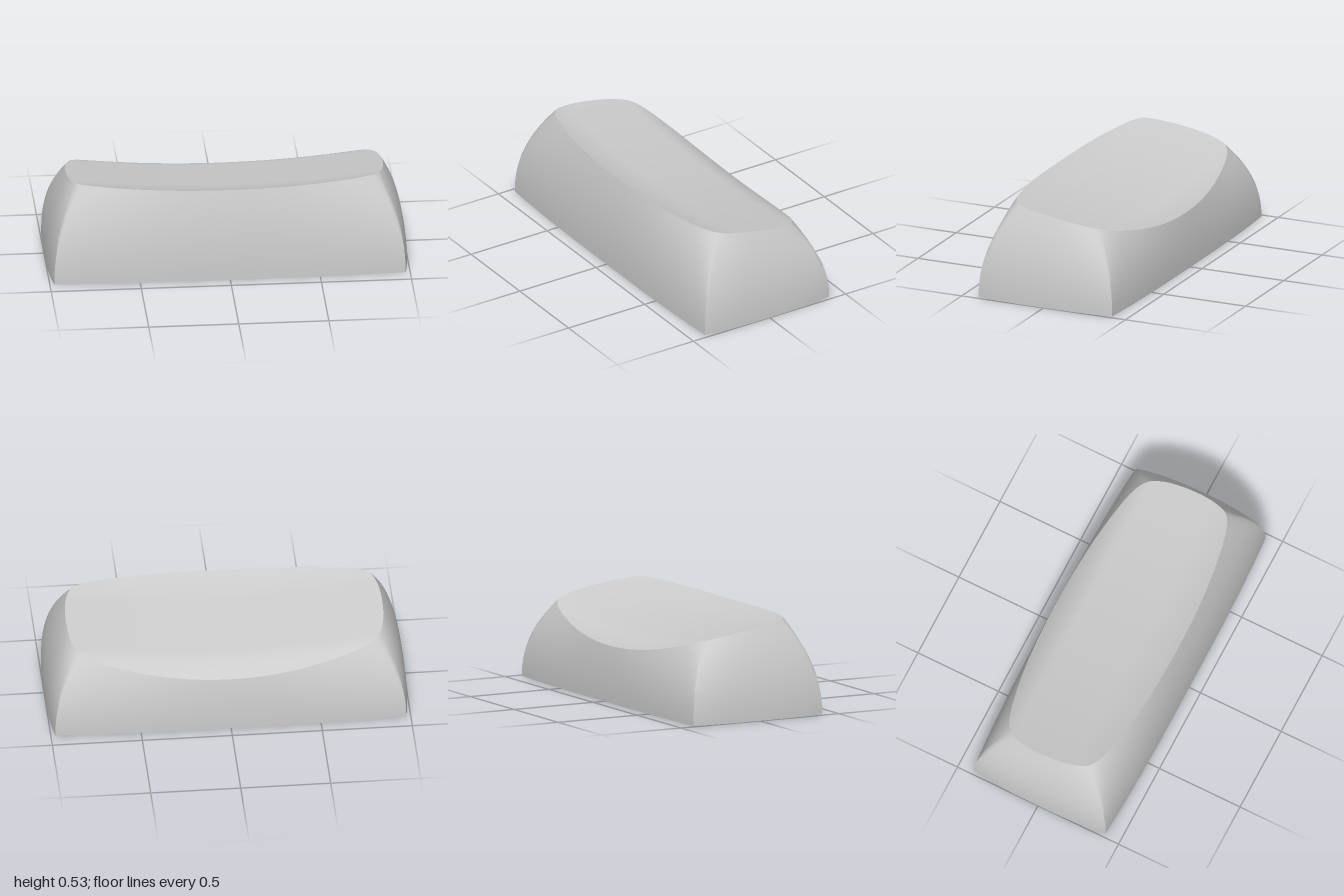
import * as THREE from 'three';
import { toCreasedNormals } from 'three/addons/utils/BufferGeometryUtils.js';

const material = new THREE.MeshStandardMaterial({ color: 0xcccccc });

// Height of the dished top: sloping back, hollow across x, front lip curling up, back rolling off
function topHeight(x, z) {
  const back = Math.max(0, -z - 0.24);
  const front = Math.max(0, z - 0.15);
  return 0.431 + 0.165 * z + 0.08 * x * x - 2.1 * back * back + 0.6 * front * front;
}

// Plan outline of the top rim, counterclockwise from above, starting at the front right-hand corner
const CORNER_X = 0.83, FRONT_Z = 0.235, BACK_Z = -0.25, STEPS = 5;
function makeRim() {
  const front = [[0.83, 0.235], [0.76, 0.275], [0.55, 0.32], [0.3, 0.347], [0, 0.355]];
  const side = [[0.86, 0.17], [0.875, 0.09], [0.88, 0], [0.877, -0.09], [0.862, -0.18]];
  const back = [[0.83, -0.25], [0.76, -0.3], [0.55, -0.354], [0.3, -0.388], [0, -0.4]];
  const mirror = (list) => list.map(([x, z]) => [-x, z]);
  const points = [
    ...mirror(front), ...front.slice(0, 4).reverse(), ...side,
    ...back, ...mirror(back.slice(0, 4)).reverse(), ...mirror(side).reverse(),
  ].map(([x, z]) => new THREE.Vector3(x, 0, z));
  const curve = new THREE.CatmullRomCurve3(points, true);
  const count = points.length * STEPS;
  return Array.from({ length: count }, (_, i) => {
    const p = curve.getPoint(i / count);
    p.y = topHeight(p.x, p.z);
    return p;
  });
}

// Base outline: four gently bowed sides, matched point by point to the rim
function makeBase(rim) {
  const f = 8 * STEPS, s = 6 * STEPS;
  const bow = (u) => 1 - Math.abs(u) ** 3;
  return rim.map((p, i) => {
    const onFront = i <= f, onBack = i >= f + s && i <= 2 * f + s;
    if (onFront || onBack) {
      const u = p.x / CORNER_X;
      return new THREE.Vector3(0.975 * u, 0, (onFront ? 1 : -1) * (0.408 + 0.023 * bow(u)));
    }
    const u = (2 * p.z - FRONT_Z - BACK_Z) / (FRONT_Z - BACK_Z);
    return new THREE.Vector3(Math.sign(p.x) * (0.975 + 0.025 * bow(u)), 0, 0.408 * u);
  });
}

// Skin a series of closed rings
function loft(rings, name) {
  const n = rings[0].length, index = [];
  for (let r = 0; r < rings.length - 1; r++) {
    for (let j = 0; j < n; j++) {
      const a = r * n + j, b = r * n + (j + 1) % n;
      index.push(a, b, b + n, a, b + n, a + n);
    }
  }
  const geometry = new THREE.BufferGeometry().setFromPoints(rings.flat());
  geometry.setIndex(index);
  const mesh = new THREE.Mesh(toCreasedNormals(geometry, 1.1), material);
  mesh.name = name;
  return mesh;
}

// Walls curve inwards more and more with height
function wallRings(base, rim, steps) {
  return Array.from({ length: steps + 1 }, (_, k) => {
    const s = k / steps;
    return base.map((p, i) => {
      const v = p.clone().lerp(rim[i], s ** 2.2);
      v.y = rim[i].y * s;
      return v;
    });
  });
}

// Rings shrinking from the rim to the middle, following the dished top
function capRings(rim, drop, steps) {
  return Array.from({ length: steps + 1 }, (_, k) => {
    const s = 1 - k / steps;
    return rim.map((p) => new THREE.Vector3(p.x * s, topHeight(p.x * s, p.z * s) - drop, p.z * s));
  });
}

// Round post with a cross-shaped socket
function makeStem(x) {
  const radius = 0.116, long = 0.102, half = 0.034, bevel = 0.012;
  const shape = new THREE.Shape().absarc(0, 0, radius, 0, Math.PI * 2, false);
  const quarter = [[long, -half], [long, half], [half, half]];
  const cross = [];
  for (let k = 0; k < 4; k++) {
    const c = Math.round(Math.cos(k * Math.PI / 2)), s = Math.round(Math.sin(k * Math.PI / 2));
    quarter.forEach(([u, v]) => cross.push(new THREE.Vector2(u * c - v * s, u * s + v * c)));
  }
  shape.holes.push(new THREE.Path(cross.reverse()));
  const geometry = new THREE.ExtrudeGeometry(shape, {
    depth: topHeight(x, 0) - 0.04 - 2 * bevel,
    bevelEnabled: true, bevelSize: bevel, bevelOffset: 0, bevelThickness: bevel, bevelSegments: 1, curveSegments: 24,
  });
  geometry.rotateX(-Math.PI / 2);
  const post = new THREE.Mesh(toCreasedNormals(geometry, 0.5), material);
  post.name = 'stemPost';
  post.position.y = bevel;
  // Floor closing the socket
  const floor = new THREE.Mesh(new THREE.BoxGeometry(0.16, 0.16, 0.16), material);
  floor.name = 'socketFloor';
  floor.position.y = 0.28;
  const group = new THREE.Group();
  group.name = 'stem';
  group.add(post, floor);
  group.position.x = x;
  return group;
}

export function createModel() {
  const model = new THREE.Group();
  model.name = 'keycap';

  const rim = makeRim();
  const base = makeBase(rim);

  // Outer shell
  model.add(loft(wallRings(base, rim, 24), 'skirt'));
  model.add(loft(capRings(rim, 0, 30), 'dishedTop'));

  // Hollow underside
  const innerBase = base.map((p) => new THREE.Vector3(p.x * 0.926, 0, p.z * 0.84));
  const innerRim = rim.map((p) => {
    const x = p.x * 0.92, z = p.z * 0.85;
    return new THREE.Vector3(x, topHeight(x, z) - 0.08, z);
  });
  model.add(loft([innerBase, base], 'bottomEdge'));
  model.add(loft(wallRings(innerBase, innerRim, 14).reverse(), 'innerWall'));
  model.add(loft(capRings(innerRim, 0.08, 14).reverse(), 'ceiling'));

  // Three mounting stems
  for (const x of [-0.57, 0, 0.57]) model.add(makeStem(x));
  return model;
}
